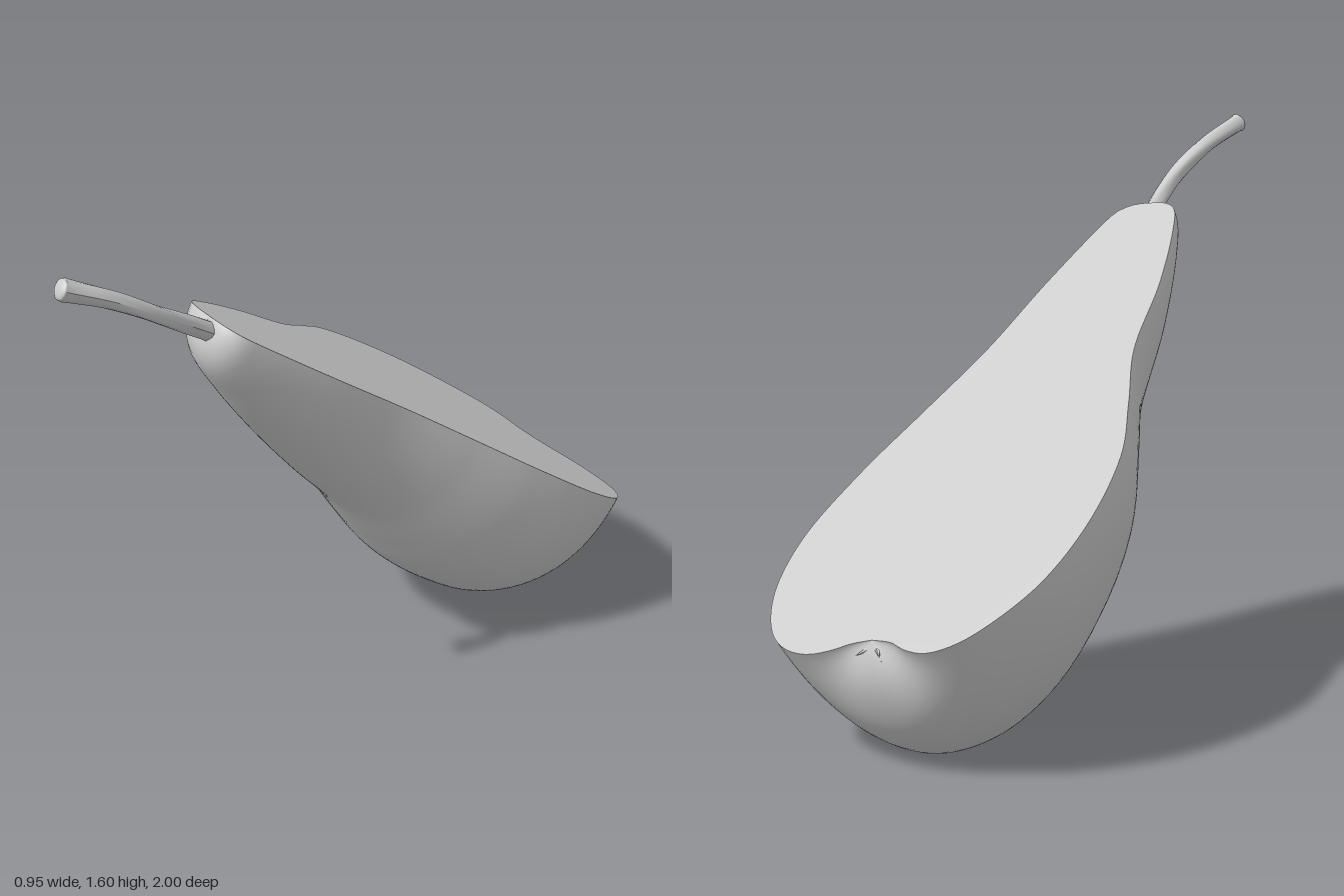
import * as THREE from 'three';

const ROWS = 90, COLS = 56;
const grey = () => new THREE.MeshStandardMaterial({ color: 0xcccccc });

// Fruit frame: first axis calyx to stem, second across, third out of the cut face
const out = new THREE.Vector3(0.17, 1, -0.68).normalize();
const along = new THREE.Vector3(0, 0.68, 1).normalize();
const across = out.clone().cross(along);
const frame = new THREE.Matrix4().makeBasis(along, across, out).setPosition(0, 1.005, 0);

// Smooth curve of even steps through a few 2D points
const smooth = (pts) =>
  new THREE.CatmullRomCurve3(pts.map(([a, b]) => new THREE.Vector3(a, b, 0)), false, 'centripetal')
    .getSpacedPoints(ROWS);

// Outline given as ground-plan x, z, moved into the cut plane
const onCut = ([x, z]) => {
  const w = x / across.x;
  return [(z - across.z * w) / along.z, w];
};

// Rim of the cut on each side, and the profile of the belly (length, depth)
const rightRim = smooth([
  [-0.03, -0.96], [0.03, -0.97], [0.08, -0.988], [0.15, -1], [0.24, -0.985], [0.33, -0.935], [0.43, -0.81], [0.476, -0.635],
  [0.444, -0.42], [0.376, -0.21], [0.31, 0], [0.27, 0.24], [0.22, 0.45], [0.195, 0.51], [0.15, 0.53], [0.1, 0.53],
].map(onCut));
const leftRim = smooth([
  [-0.03, -0.96], [-0.1, -0.968], [-0.15, -0.987], [-0.23, -1], [-0.3, -0.98], [-0.36, -0.935], [-0.445, -0.81], [-0.472, -0.635],
  [-0.434, -0.42], [-0.34, -0.24], [-0.233, -0.05], [-0.164, 0.185], [-0.074, 0.4], [-0.02, 0.49], [0.03, 0.52], [0.1, 0.53],
].map(onCut));
const belly = smooth([
  [-1.155, 0], [-1.2, -0.035], [-1.24, -0.1], [-1.258, -0.24], [-1.213, -0.375], [-1.1, -0.472], [-0.95, -0.518],
  [-0.794, -0.518], [-0.615, -0.495], [-0.453, -0.443], [-0.25, -0.374], [-0.05, -0.328], [0.184, -0.265],
  [0.428, -0.186], [0.577, -0.123], [0.62, -0.069], [0.63, 0],
]);
const core = (s) => -0.03 + 0.068 * (s + 1.14);

// Skin: a half turn from the right rim, under the belly, to the left rim
function skinGeometry() {
  const pos = [], index = [];
  for (let i = 0; i <= ROWS; i++) {
    for (let j = 0; j <= COLS; j++) {
      const a = (j / COLS) * Math.PI, c = Math.cos(a);
      const rim = (c >= 0 ? rightRim : leftRim)[i];
      const s = THREE.MathUtils.lerp(belly[i].x, rim.x, c * c);
      const depth = belly[i].y * Math.sin(a);
      const w = core(s) + Math.abs(c) * (rim.y - core(rim.x)) - 0.07 * depth;
      pos.push(s, w, depth);
      if (i < ROWS && j < COLS) {
        const p = i * (COLS + 1) + j, q = p + COLS + 1;
        index.push(p, q, p + 1, q, q + 1, p + 1);
      }
    }
  }
  const g = new THREE.BufferGeometry();
  g.setAttribute('position', new THREE.Float32BufferAttribute(pos, 3));
  g.setIndex(index);
  g.computeVertexNormals();
  return g;
}

// Stem: tube with a taper, a swollen tip and a slightly ridged surface
function stemGeometry() {
  const path = new THREE.CatmullRomCurve3([
    [0.095, 1.265, 0.47], [0.1, 1.325, 0.56], [0.112, 1.42, 0.71], [0.09, 1.505, 0.85], [0.053, 1.567, 0.98],
  ].map((p) => new THREE.Vector3(...p)));
  const steps = 40, sides = 14;
  const g = new THREE.TubeGeometry(path, steps, 1, sides);
  const p = g.attributes.position, v = new THREE.Vector3();
  for (let i = 0; i < p.count; i++) {
    const row = Math.floor(i / (sides + 1)), t = row / steps;
    const angle = ((i % (sides + 1)) / sides) * Math.PI * 2;
    const r = 0.023 + 0.01 * Math.exp(-t * 9) + 0.006 * Math.exp(-(1 - t) * 9) + 0.0018 * Math.sin(angle * 4 + t * 9);
    const c = path.getPointAt(t);
    v.fromBufferAttribute(p, i).sub(c).multiplyScalar(r).add(c);
    p.setXYZ(i, v.x, v.y, v.z);
  }
  g.computeVertexNormals();
  return { g, path };
}

export function createModel() {
  const model = new THREE.Group();
  model.name = 'halfPear';
  const add = (parent, name, geometry) => {
    const mesh = new THREE.Mesh(geometry, grey());
    mesh.name = name;
    parent.add(mesh);
    return mesh;
  };

  const fruit = new THREE.Group();
  fruit.name = 'fruit';
  fruit.applyMatrix4(frame);
  model.add(fruit);
  add(fruit, 'skin', skinGeometry());

  // Flat cut face bounded by both rims
  const rim = [...rightRim, ...leftRim.slice(1, -1).reverse()];
  add(fruit, 'cutFace', new THREE.ShapeGeometry(new THREE.Shape(rim.map((p) => new THREE.Vector2(p.x, p.y)))));

  // Dried sepals in the hollow of the base
  const calyx = new THREE.Group();
  calyx.name = 'calyx';
  calyx.position.set(-1.155, -0.03, -0.02);
  fruit.add(calyx);
  for (let i = 0; i < 7; i++) {
    const a = -Math.PI * (i / 6);
    const sepal = add(calyx, 'sepal', new THREE.ConeGeometry(0.014, 0.075, 5));
    const dir = new THREE.Vector3(-1, Math.cos(a), Math.sin(a) * 0.9).normalize();
    sepal.quaternion.setFromUnitVectors(new THREE.Vector3(0, 1, 0), dir);
    sepal.position.copy(dir).multiplyScalar(0.025);
  }

  // Stem and its blunt tip
  const { g, path } = stemGeometry();
  add(model, 'stem', g);
  const tip = add(model, 'stemTip', new THREE.SphereGeometry(0.029, 14, 8));
  tip.scale.y = 0.4;
  tip.position.copy(path.getPointAt(1));
  tip.quaternion.setFromUnitVectors(new THREE.Vector3(0, 1, 0), path.getTangentAt(1));
  return model;
}
